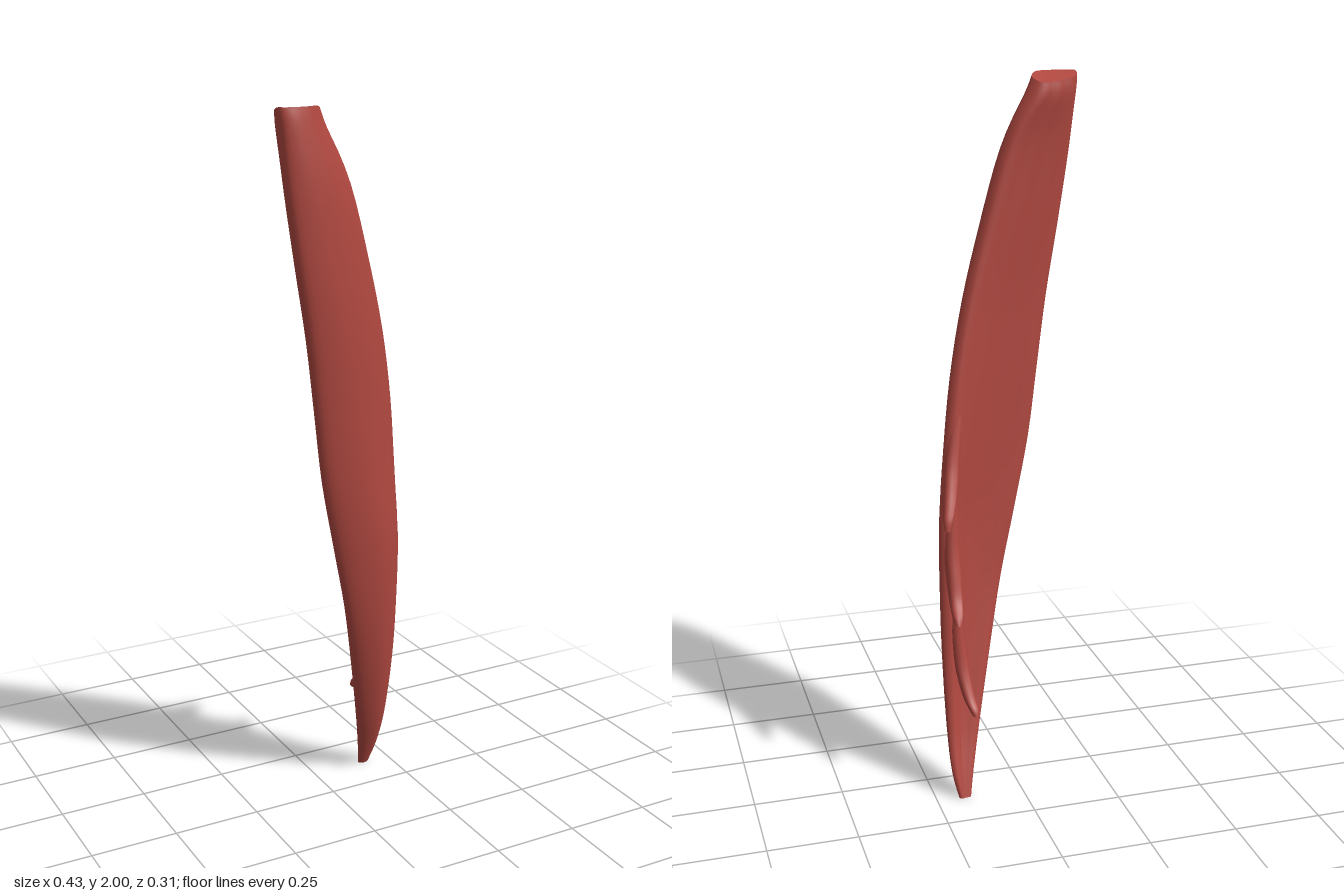
import * as THREE from 'three';

const red = new THREE.MeshStandardMaterial({ color: 0xb04840 });
red.name = 'muscle red';

// Each row, top to bottom: y, left edge x z, bend x z, right edge x z, half thickness
const BELLY = [
  [2.0, -0.217, 0.11, -0.15, 0.102, -0.092, 0.07, 0.036],
  [1.95, -0.214, 0.114, -0.15, 0.105, -0.07, 0.066, 0.042],
  [1.8, -0.2, 0.12, -0.1, 0.114, -0.002, 0.068, 0.042],
  [1.6, -0.17, 0.12, -0.05, 0.11, 0.06, 0.056, 0.041],
  [1.4, -0.135, 0.11, 0.0, 0.104, 0.115, 0.034, 0.039],
  [1.2, -0.106, 0.096, 0.04, 0.094, 0.156, 0.008, 0.037],
  [1.0, -0.077, 0.082, 0.08, 0.084, 0.181, -0.016, 0.035],
  [0.8, -0.031, 0.06, 0.125, 0.07, 0.193, -0.03, 0.034],
  [0.6, 0.018, 0.035, 0.146, 0.043, 0.195, -0.04, 0.032],
  [0.4, 0.063, -0.009, 0.158, 0.009, 0.195, -0.053, 0.029],
  [0.2, 0.108, -0.06, 0.17, -0.04, 0.196, -0.085, 0.022],
  [0.08, 0.136, -0.099, 0.172, -0.087, 0.196, -0.115, 0.016],
  [0.005, 0.152, -0.126, 0.168, -0.12, 0.184, -0.13, 0.009],
];

// Slips, top to bottom: y, front edge x z, back edge x z, half thickness
const SLIPS = {
  upperSlip: [
    [1.2, 0.1, 0.075, 0.136, 0.02, 0.014],
    [1.0, 0.152, 0.045, 0.17, -0.035, 0.021],
    [0.92, 0.172, 0.01, 0.184, -0.072, 0.022],
    [0.87, 0.186, -0.035, 0.197, -0.104, 0.019],
    [0.84, 0.194, -0.072, 0.207, -0.122, 0.015],
    [0.813, 0.203, -0.1, 0.211, -0.128, 0.009],
  ],
  middleSlip: [
    [0.95, 0.15, 0.05, 0.168, -0.018, 0.014],
    [0.75, 0.168, 0.035, 0.178, -0.055, 0.022],
    [0.66, 0.172, -0.01, 0.179, -0.082, 0.022],
    [0.6, 0.175, -0.052, 0.181, -0.106, 0.02],
    [0.565, 0.18, -0.085, 0.185, -0.14, 0.016],
    [0.545, 0.183, -0.11, 0.188, -0.154, 0.009],
  ],
  lowerSlip: [
    [0.7, 0.155, 0.04, 0.17, -0.03, 0.012],
    [0.48, 0.153, 0.015, 0.168, -0.061, 0.02],
    [0.38, 0.152, -0.018, 0.159, -0.083, 0.02],
    [0.31, 0.148, -0.06, 0.149, -0.117, 0.017],
    [0.28, 0.143, -0.092, 0.141, -0.14, 0.014],
    [0.262, 0.14, -0.115, 0.138, -0.147, 0.008],
  ],
};

// Smooth value through four neighbouring rows
function spline(a, b, c, d, t) {
  return b + 0.5 * t * (c - a + t * (2 * a - 5 * b + 4 * c - d + t * (3 * (b - c) + d - a)));
}

// Loft of bent, flattened sections with closed ends
function loft(rows, sides, steps, groove) {
  const pos = [], idx = [], rings = (rows.length - 1) * steps + 1;
  const row = (i) => rows[Math.min(rows.length - 1, Math.max(0, i))];
  for (let r = 0; r < rings; r++) {
    const k = Math.min(rows.length - 2, Math.floor(r / steps)), f = r / steps - k;
    const [y, xl, zl, xm, zm, xr, zr, t] = row(k).map((v, n) =>
      spline(row(k - 1)[n], v, row(k + 1)[n], row(k + 2)[n], f));
    // quadratic arc drawn towards the bend
    const bx = xm + (xm - (xl + xr) / 2) * 0.4, bz = zm + (zm - (zl + zr) / 2) * 0.4;
    // the cut top slopes down towards the back
    const slope = 0.45 * THREE.MathUtils.smoothstep(y, 1.85, 2);
    for (let j = 0; j < sides; j++) {
      const a = (j / sides) * Math.PI * 2, u = (1 - Math.cos(a)) / 2, s = Math.sin(a);
      const tx = (1 - u) * (bx - xl) + u * (xr - bx), tz = (1 - u) * (bz - zl) + u * (zr - bz);
      const len = Math.hypot(tx, tz);
      const ridge = 1 - groove * (s < 0 ? 1 : 0.35) * (0.5 + 0.5 * Math.cos(u * 19 + y * 2.5));
      const h = t * Math.sign(s) * Math.pow(Math.abs(s), 0.65) * ridge;
      const z = (1 - u) ** 2 * zl + 2 * u * (1 - u) * bz + u * u * zr + (tx / len) * h;
      pos.push(
        (1 - u) ** 2 * xl + 2 * u * (1 - u) * bx + u * u * xr - (tz / len) * h,
        y - slope * Math.max(0, 0.115 - z), z);
    }
  }
  for (let r = 0; r < rings - 1; r++) {
    for (let j = 0; j < sides; j++) {
      const a = r * sides + j, b = r * sides + (j + 1) % sides;
      idx.push(a, a + sides, b + sides, a, b + sides, b);
    }
  }
  // end caps with their own corners, so the rims stay crisp
  for (const [r, top] of [[0, true], [rings - 1, false]]) {
    const start = pos.length / 3, c = [0, 0, 0];
    for (let j = 0; j < sides; j++) {
      for (let n = 0; n < 3; n++) {
        const v = pos[(r * sides + j) * 3 + n];
        pos.push(v);
        c[n] += v / sides;
      }
    }
    pos.push(...c);
    for (let j = 0; j < sides; j++) {
      const p = start + j, q = start + (j + 1) % sides;
      idx.push(start + sides, top ? p : q, top ? q : p);
    }
  }
  const g = new THREE.BufferGeometry();
  g.setAttribute('position', new THREE.Float32BufferAttribute(pos, 3));
  g.setIndex(idx);
  g.computeVertexNormals();
  return g;
}

export function createModel() {
  const group = new THREE.Group();
  group.name = 'muscleStrip';
  const add = (name, geometry) => {
    const mesh = new THREE.Mesh(geometry, red);
    mesh.name = name;
    group.add(mesh);
  };

  // Long curved belly, tapering to the lowest tip
  add('muscleBelly', loft(BELLY, 40, 4, 0.08));

  // Pointed slips peeling off the back edge
  for (const [name, rows] of Object.entries(SLIPS)) {
    const full = rows.map(([y, xf, zf, xb, zb, t]) =>
      [y, xf, zf, (xf + xb) / 2, (zf + zb) / 2, xb, zb, t]);
    add(name, loft(full, 16, 4, 0));
  }
  return group;
}
